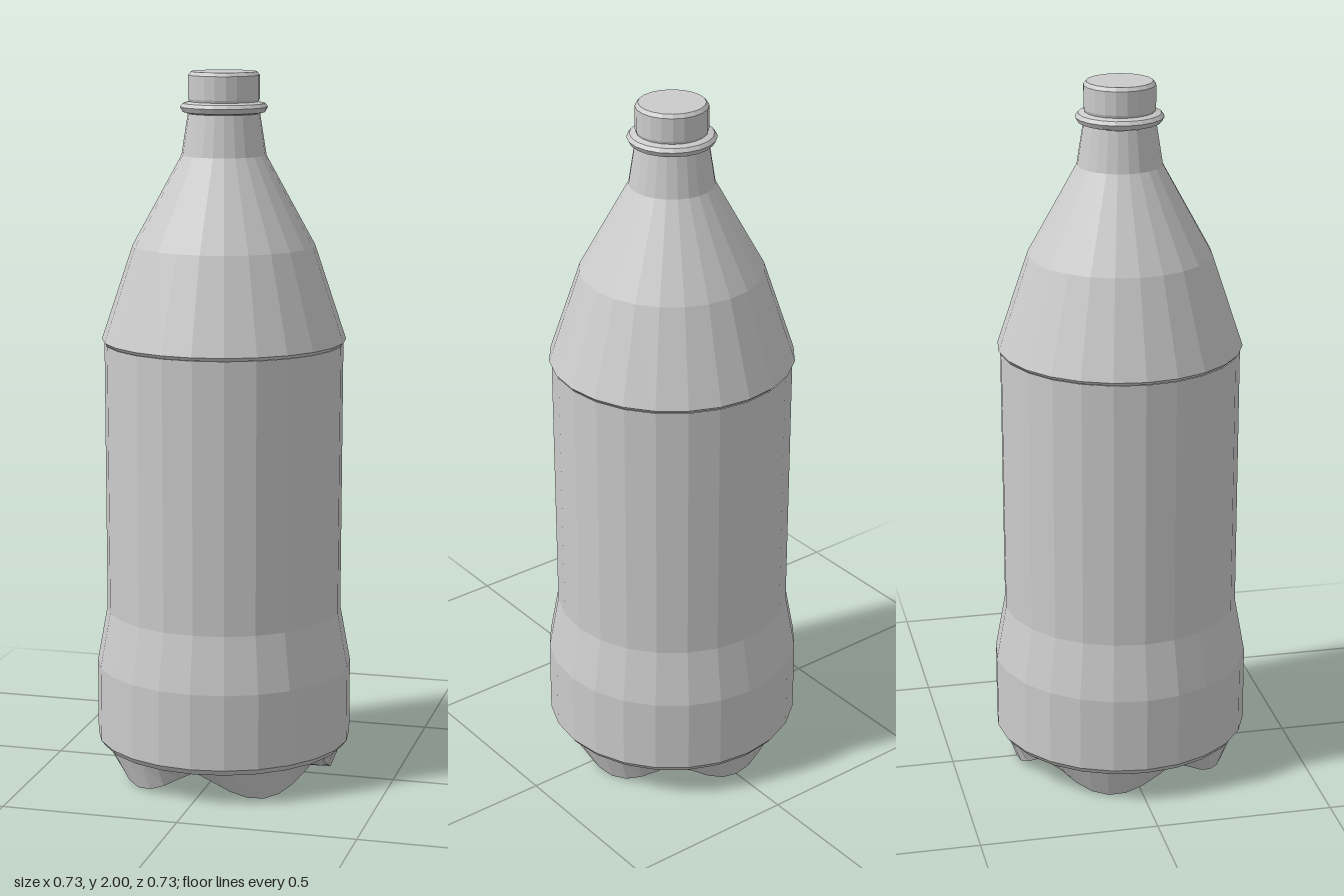
import * as THREE from 'three';

const material = new THREE.MeshStandardMaterial({ color: 0xcccccc, flatShading: true, side: THREE.DoubleSide });

// Faceted turned part from [radius, height] pairs, listed bottom to top
function turned(name, profile, sides) {
  const points = profile.map(([r, y]) => new THREE.Vector2(r, y));
  const mesh = new THREE.Mesh(new THREE.LatheGeometry(points, sides), material);
  mesh.name = name;
  return mesh;
}

// Five-footed base: a turned dish whose rings drop at the feet and rise in the valleys
function makeBase() {
  const base = turned('footedBase',
    [[0, 0.065], [0.09, 0.06], [0.2, 0.05], [0.31, 0.05], [0.345, 0.095]], 40);
  const footHeight = [0.065, 0.045, 0.004, 0, 0.095];
  const valleyHeight = [0.065, 0.07, 0.08, 0.08, 0.095];
  const pos = base.geometry.attributes.position;
  const rings = footHeight.length;
  for (let i = 0; i < pos.count; i++) {
    const ring = i % rings;
    const angle = Math.atan2(pos.getX(i), pos.getZ(i));
    const foot = Math.pow(Math.max(0, 0.5 + 0.5 * Math.cos(5 * (angle - Math.PI))), 0.6);
    pos.setY(i, THREE.MathUtils.lerp(valleyHeight[ring], footHeight[ring], foot));
  }
  base.geometry.computeVertexNormals();
  return base;
}

export function createModel() {
  const bottle = new THREE.Group();
  bottle.name = 'bottle';

  // Lower bulge, waist and straight label panel
  bottle.add(turned('body', [
    [0.33, 0.088], [0.35, 0.088], [0.363, 0.105], [0.363, 0.32],
    [0.334, 0.48], [0.336, 1.245],
  ], 24));

  // Shoulder overhanging the panel slightly, tapering to the neck
  bottle.add(turned('shoulder', [
    [0.334, 1.245], [0.343, 1.255], [0.255, 1.52], [0.118, 1.77], [0.1, 1.885],
  ], 24));

  // Carrying ring below the cap
  bottle.add(turned('neckRing', [
    [0.098, 1.885], [0.114, 1.889], [0.122, 1.903], [0.114, 1.913], [0.096, 1.918],
  ], 20));

  // Closed cap with a small bevel
  bottle.add(turned('cap', [
    [0.092, 1.905], [0.099, 1.925], [0.099, 1.99], [0.091, 2], [0, 2],
  ], 20));

  bottle.add(makeBase());
  return bottle;
}
